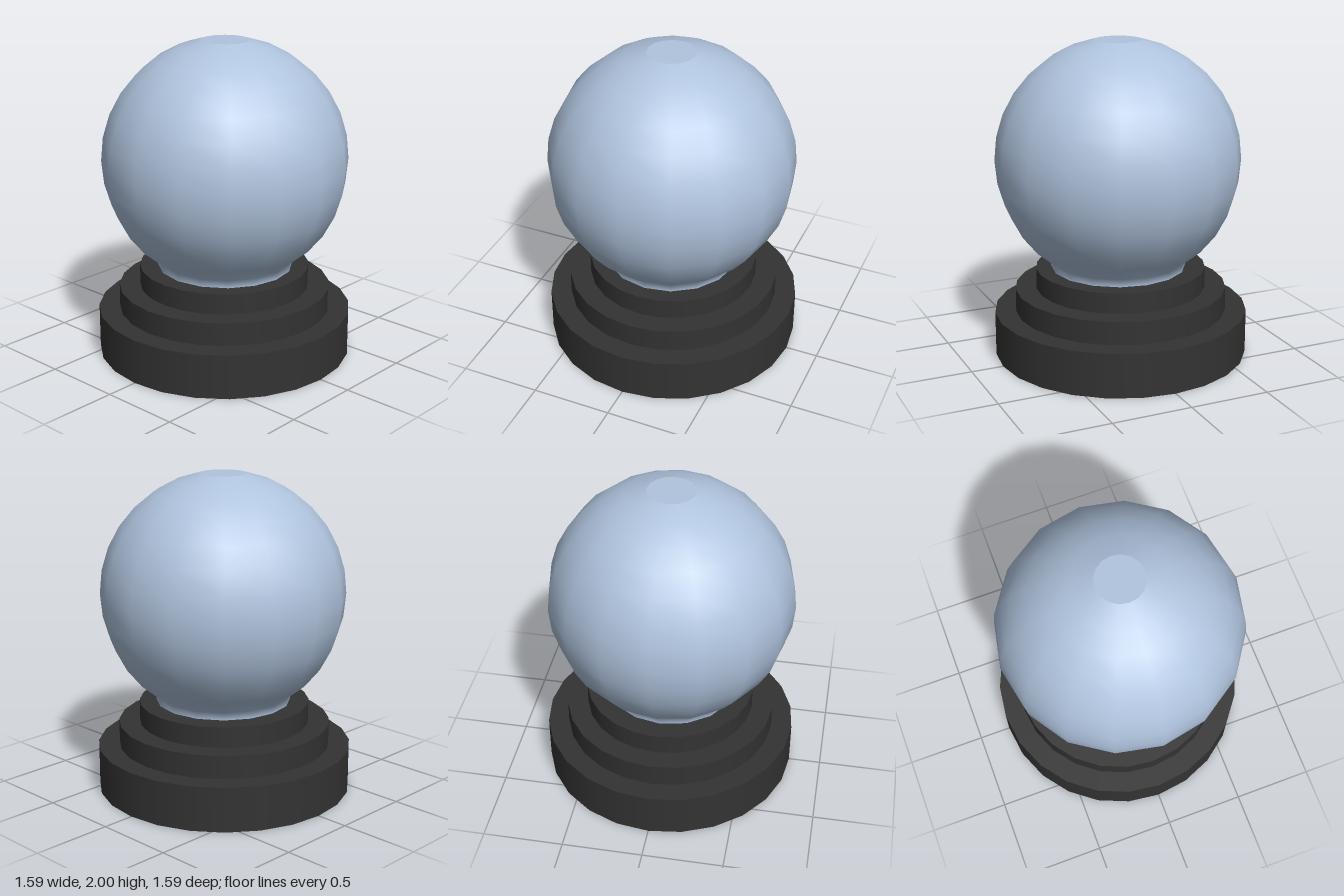
import * as THREE from 'three';

const GLOBE_R = 0.763;
const GLOBE_Y = 2 - GLOBE_R;
const SIDES = 16;

export function createModel() {
  const model = new THREE.Group();
  const dark = new THREE.MeshStandardMaterial({ color: 0x333333 });
  const glass = new THREE.MeshStandardMaterial({ color: 0xb0c4de, side: THREE.DoubleSide });

  const add = (parent, name, geometry, material) => {
    const mesh = new THREE.Mesh(geometry, material);
    mesh.name = name;
    parent.add(mesh);
    return mesh;
  };

  // Stepped plinth: three stacked discs
  const base = new THREE.Group();
  base.name = 'base';
  const tiers = [
    ['lowerTier', 0.797, 0, 0.28],
    ['middleTier', 0.665, 0.28, 0.425],
    ['upperTier', 0.533, 0.425, 0.555],
  ];
  for (const [name, radius, bottom, top] of tiers) {
    const tier = add(base, name, new THREE.CylinderGeometry(radius, radius, top - bottom, 24), dark);
    tier.position.y = (bottom + top) / 2;
  }
  model.add(base);

  // Glass globe with a short neck, set slightly off the base's axis
  const globe = new THREE.Group();
  globe.name = 'globe';
  globe.position.set(0.013, 0, 0.005);
  model.add(globe);

  // Sphere profile in equal angle steps from the neck up to the cap ring
  const step = Math.PI / SIDES;
  const ring = (i) => new THREE.Vector2(
    GLOBE_R * Math.sin(i * step), GLOBE_Y + GLOBE_R * Math.cos(i * step));
  const profile = [new THREE.Vector2(ring(13).x, 0.55)];
  for (let i = 13; i >= 1; i--) profile.push(ring(i));
  add(globe, 'globeBody', new THREE.LatheGeometry(profile, SIDES), glass);

  // Shallow cap at the pole, shaded as one flat disc
  const capRing = ring(1);
  const cap = new THREE.CircleGeometry(capRing.x, SIDES).rotateX(-Math.PI / 2);
  cap.attributes.position.setY(0, 2 - capRing.y);
  add(globe, 'globeCap', cap, glass).position.y = capRing.y;

  return model;
}
